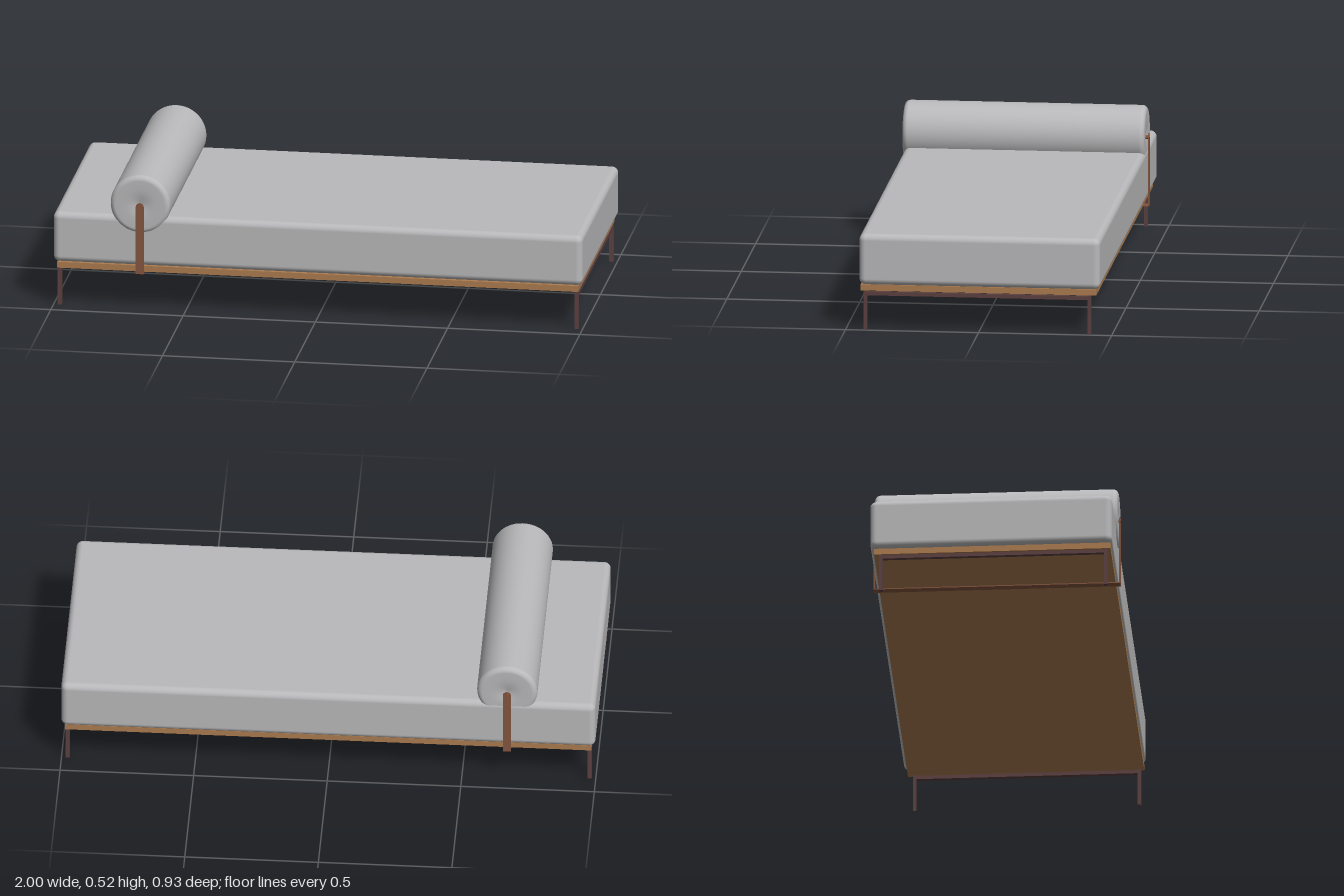
import * as THREE from 'three';
import { RoundedBoxGeometry } from 'three/addons/geometries/RoundedBoxGeometry.js';

const mat = (name, color) => Object.assign(new THREE.MeshStandardMaterial({ color }), { name });

export function createModel() {
  const model = new THREE.Group();
  model.name = 'daybed';
  const fabric = mat('grey fabric', 0xb9b9bb);
  const wood = mat('wood', 0xac7c50);
  const leather = mat('brown leather', 0x85563f);
  const metal = mat('dark metal', 0x5c4040);

  const add = (name, geometry, material, x, y, z) => {
    const mesh = new THREE.Mesh(geometry, material);
    mesh.name = name;
    mesh.position.set(x, y, z);
    model.add(mesh);
    return mesh;
  };
  const box = (name, material, w, h, d, x, y, z) =>
    add(name, new THREE.BoxGeometry(w, h, d), material, x, y, z);

  // Mattress and the board under it
  add('mattress', new RoundedBoxGeometry(2, 0.194, 0.905, 5, 0.024), fabric, 0, 0.268, -0.0025);
  box('baseBoard', wood, 1.97, 0.023, 0.885, 0, 0.1595, 0.002);

  // Bolster: softly rounded ends, each drawn in a little at the middle
  const half = 0.455, radius = 0.113, round = 0.02;
  const end = [[0, half - 0.01], [0.012, half - 0.008], [0.035, half - 0.002], [0.06, half]];
  for (let i = 0; i <= 6; i++) {
    const a = (i / 6) * Math.PI / 2;
    end.push([radius - round + round * Math.sin(a), half - round + round * Math.cos(a)]);
  }
  const profile = [
    ...end.map(([r, z]) => new THREE.Vector2(r, -z)),
    ...end.map(([r, z]) => new THREE.Vector2(r, z)).reverse(),
  ];
  const bolster = add('bolster', new THREE.LatheGeometry(profile, 48), fabric, -0.67, 0.412, 0.002);
  bolster.rotation.x = Math.PI / 2;

  // Strap: one band under the board, an upright with a rounded top at each end
  const w = 0.015, top = 0.42, bottom = 0.143;
  const outline = new THREE.Shape();
  outline.moveTo(-w, bottom);
  outline.lineTo(w, bottom);
  outline.lineTo(w, top - w);
  outline.absarc(0, top - w, w, 0, Math.PI, false);
  outline.closePath();
  const upright = new THREE.ExtrudeGeometry(outline, { depth: 0.004, bevelEnabled: false, curveSegments: 8 });
  add('frontStrap', upright, leather, -0.67, 0, 0.458);
  add('backStrap', upright, leather, -0.67, 0, -0.461);
  box('underStrap', leather, 2 * w, 0.004, 0.92, -0.67, 0.1455, 0);

  // Studs fixing the strap to the bolster
  for (const s of [1, -1]) {
    const stud = add('strapStud', new THREE.CylinderGeometry(0.007, 0.007, 0.016, 16), leather, -0.67, top - w, s * 0.4555);
    stud.rotation.x = Math.PI / 2;
  }

  // Leg frames: two square legs joined by a rail at each end
  for (const x of [-0.977, 0.977]) {
    for (const s of [1, -1]) box('leg', metal, 0.016, 0.148, 0.013, x, 0.074, 0.006 + s * 0.4205);
    box('legRail', metal, 0.016, 0.014, 0.83, x, 0.137, 0.006);
  }
  return model;
}
